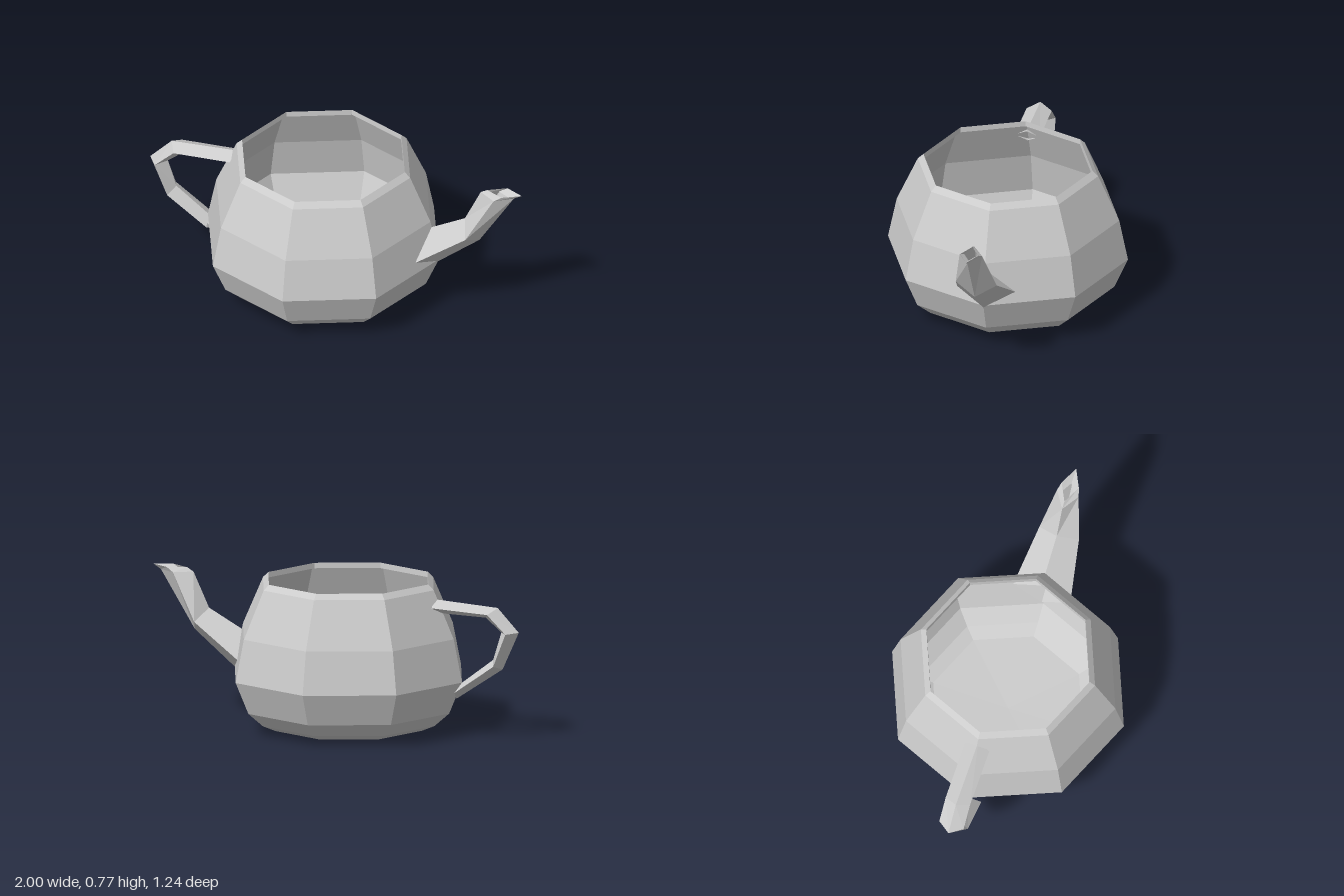
import * as THREE from 'three';

const material = new THREE.MeshStandardMaterial({
  color: 0xcccccc, flatShading: true, side: THREE.DoubleSide,
});

// Open four-sided tube through diamond sections:
// each section is [lowX, lowY, highX, highY, halfWidth, sideX, sideY].
function diamondTube(name, sections) {
  const positions = [];
  const rings = sections.map(([ax, ay, bx, by, w, sx = (ax + bx) / 2, sy = (ay + by) / 2]) => [
    [ax, ay, 0], [sx, sy, -w], [bx, by, 0], [sx, sy, w],
  ]);
  for (let i = 0; i < rings.length - 1; i++) {
    for (let j = 0; j < 4; j++) {
      const k = (j + 1) % 4;
      const a = rings[i][j], b = rings[i][k], c = rings[i + 1][k], d = rings[i + 1][j];
      positions.push(...a, ...b, ...c, ...a, ...c, ...d);
    }
  }
  const geometry = new THREE.BufferGeometry();
  geometry.setAttribute('position', new THREE.Float32BufferAttribute(positions, 3));
  geometry.computeVertexNormals();
  const mesh = new THREE.Mesh(geometry, material);
  mesh.name = name;
  return mesh;
}

export function createModel() {
  const group = new THREE.Group();
  group.name = 'teapot';

  // Eight-sided open bowl: a single sheet from the floor up to the folded rim
  const profile = [
    [0, 0.005], [0.4, 0.02], [0.47, 0.05], [0.55, 0.12], [0.62, 0.285],
    [0.575, 0.505], [0.466, 0.75], [0.437, 0.778], [0.435, 0.75],
  ].map(([r, y]) => new THREE.Vector2(r, y));
  const body = new THREE.Mesh(new THREE.LatheGeometry(profile, 8), material);
  body.name = 'body';
  body.position.x = -0.07;
  group.add(body);

  // Spout, flaring out of the body and folding inward at the lip
  group.add(diamondTube('spout', [
    [0.457, 0.2, 0.457, 0.445, 0.153, 0.457, 0.33],
    [0.768, 0.455, 0.69, 0.57, 0.106],
    [0.953, 0.75, 0.775, 0.75, 0.058],
    [0.995, 0.775, 0.81, 0.77, 0.046],
    [0.922, 0.75, 0.798, 0.75, 0.035],
  ]));

  // Handle, looping from below the rim to the lower body
  group.add(diamondTube('handle', [
    [-0.567, 0.635, -0.535, 0.705, 0.065],
    [-0.82, 0.63, -0.885, 0.685, 0.065],
    [-0.905, 0.56, -1, 0.565, 0.065],
    [-0.86, 0.415, -0.912, 0.37, 0.065],
    [-0.69, 0.285, -0.66, 0.2, 0.065],
  ]));

  return group;
}
